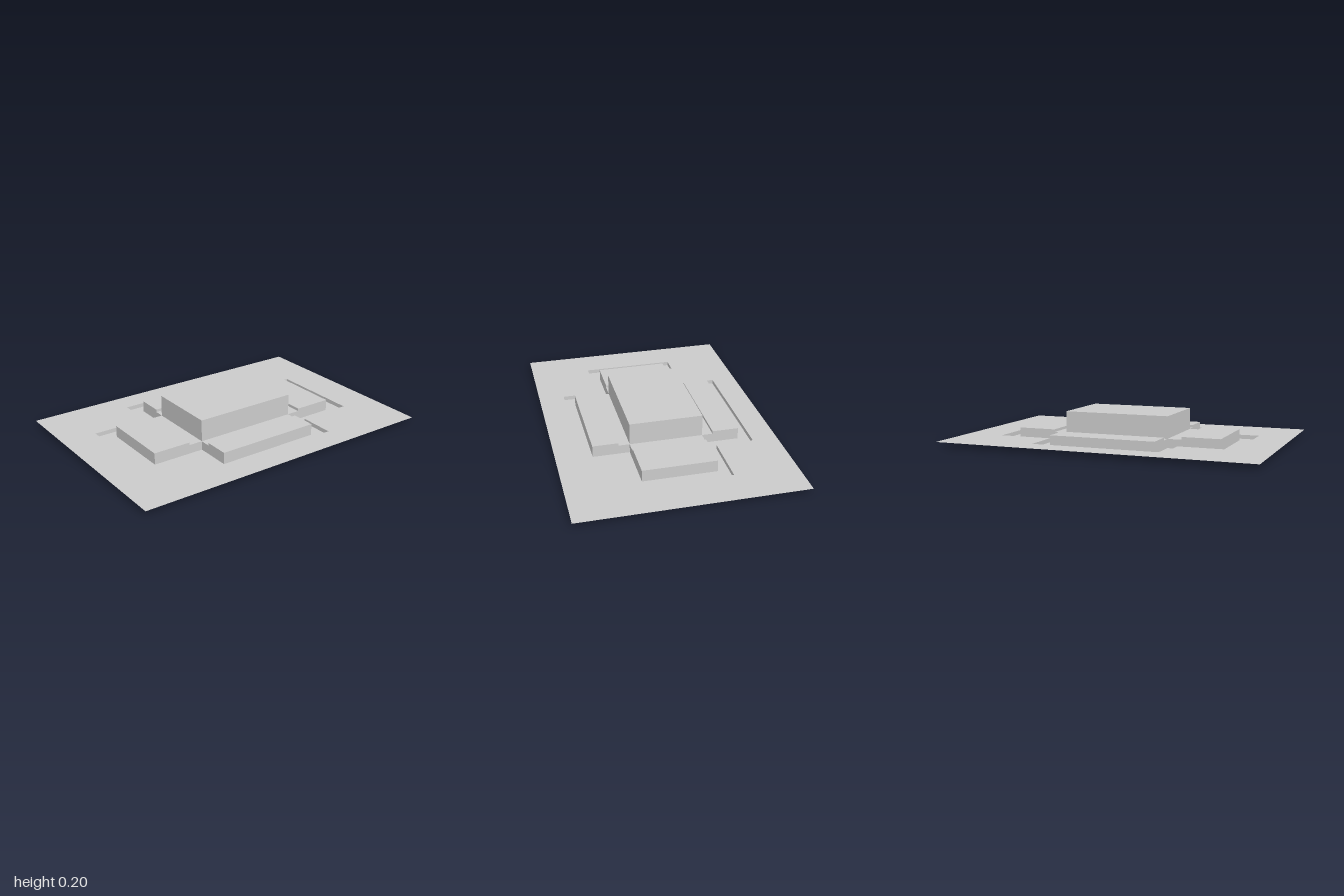
import * as THREE from 'three';

const material = new THREE.MeshStandardMaterial({ color: 0xcccccc, flatShading: true, side: THREE.DoubleSide });

// Heights of the terraces
const FLOOR = 0.002, PLATE = 0.028, LINK = 0.058, WING = 0.075, ROOF = 0.195;

// Outlines are lists of [x, z] corners
const rect = (x0, x1, z0, z1) => [[x0, z0], [x1, z0], [x1, z1], [x0, z1]];

// Plus-shaped outline: x arm [ax0, ax1] of half depth h, z arm [az0, az1] of half width w
const plus = (ax0, ax1, h, az0, az1, w) => [
  [-w, az0], [w, az0], [w, -h], [ax1, -h], [ax1, h], [w, h],
  [w, az1], [-w, az1], [-w, h], [ax0, h], [ax0, -h], [-w, -h],
];

const toPoints = (outline) => outline.map(([x, z]) => new THREE.Vector2(x, -z));

// Horizontal sheet at height y, optionally with a hole
function sheet(name, outline, y, hole) {
  const shape = new THREE.Shape(toPoints(outline));
  if (hole) shape.holes.push(new THREE.Path(toPoints(hole)));
  const geometry = new THREE.ShapeGeometry(shape).rotateX(-Math.PI / 2).translate(0, y, 0);
  const mesh = new THREE.Mesh(geometry, material);
  mesh.name = name;
  return mesh;
}

// Vertical walls along an outline; base(i) gives the lower height of side i
function walls(name, outline, base, top) {
  const positions = [];
  outline.forEach(([ax, az], i) => {
    const [bx, bz] = outline[(i + 1) % outline.length];
    const y = base(i);
    positions.push(ax, y, az, ax, top, az, bx, top, bz, ax, y, az, bx, top, bz, bx, y, bz);
  });
  const geometry = new THREE.BufferGeometry();
  geometry.setAttribute('position', new THREE.Float32BufferAttribute(positions, 3));
  geometry.computeVertexNormals();
  const mesh = new THREE.Mesh(geometry, material);
  mesh.name = name;
  return mesh;
}

// Hollow block open below; side `joined` only reaches down to the link
function block(name, outline, top, joined) {
  const group = new THREE.Group();
  group.name = name;
  group.add(
    sheet(name + 'Top', outline, top),
    walls(name + 'Walls', outline, (i) => (joined.includes(i) ? LINK : FLOOR), top),
  );
  return group;
}

// Low link between tower and wing, with walls on its two free sides only
function link(name, outline, alongX) {
  const group = new THREE.Group();
  group.name = name;
  const free = alongX ? [0, 2] : [1, 3];
  group.add(
    sheet(name + 'Top', outline, LINK),
    walls(name + 'Walls', outline, (i) => (free.includes(i) ? FLOOR : LINK), LINK),
  );
  return group;
}

export function createModel() {
  const model = new THREE.Group();
  model.name = 'embossedTray';

  const recess = plus(-0.777, 0.76, 0.294, -0.527, 0.52, 0.42);
  const footprint = plus(-0.666, 0.663, 0.227, -0.458, 0.455, 0.335);

  // Thin plate, sunken cross-shaped moat
  model.add(
    sheet('basePlate', rect(-1, 1, -0.682, 0.682), PLATE, recess),
    walls('recessWalls', recess, () => FLOOR, PLATE),
    sheet('recessFloor', recess, FLOOR, footprint),
  );

  // Central tower, standing on the links
  model.add(block('centralTower', rect(-0.335, 0.335, -0.227, 0.227), ROOF, [0, 1, 2, 3]));

  // Four wings and the links joining them to the tower
  model.add(
    block('leftWing', rect(0.42, 0.663, -0.227, 0.227), WING, [3]),
    block('rightWing', rect(-0.666, -0.425, -0.227, 0.227), WING, [1]),
    block('frontWing', rect(-0.335, 0.335, 0.296, 0.455), WING, [0]),
    block('backWing', rect(-0.335, 0.335, -0.458, -0.294), WING, [2]),
    link('leftLink', rect(0.335, 0.42, -0.227, 0.227), true),
    link('rightLink', rect(-0.425, -0.335, -0.227, 0.227), true),
    link('frontLink', rect(-0.335, 0.335, 0.227, 0.296), false),
    link('backLink', rect(-0.335, 0.335, -0.294, -0.227), false),
  );

  // Very slight forward lean
  model.rotation.x = 0.003;
  return model;
}
